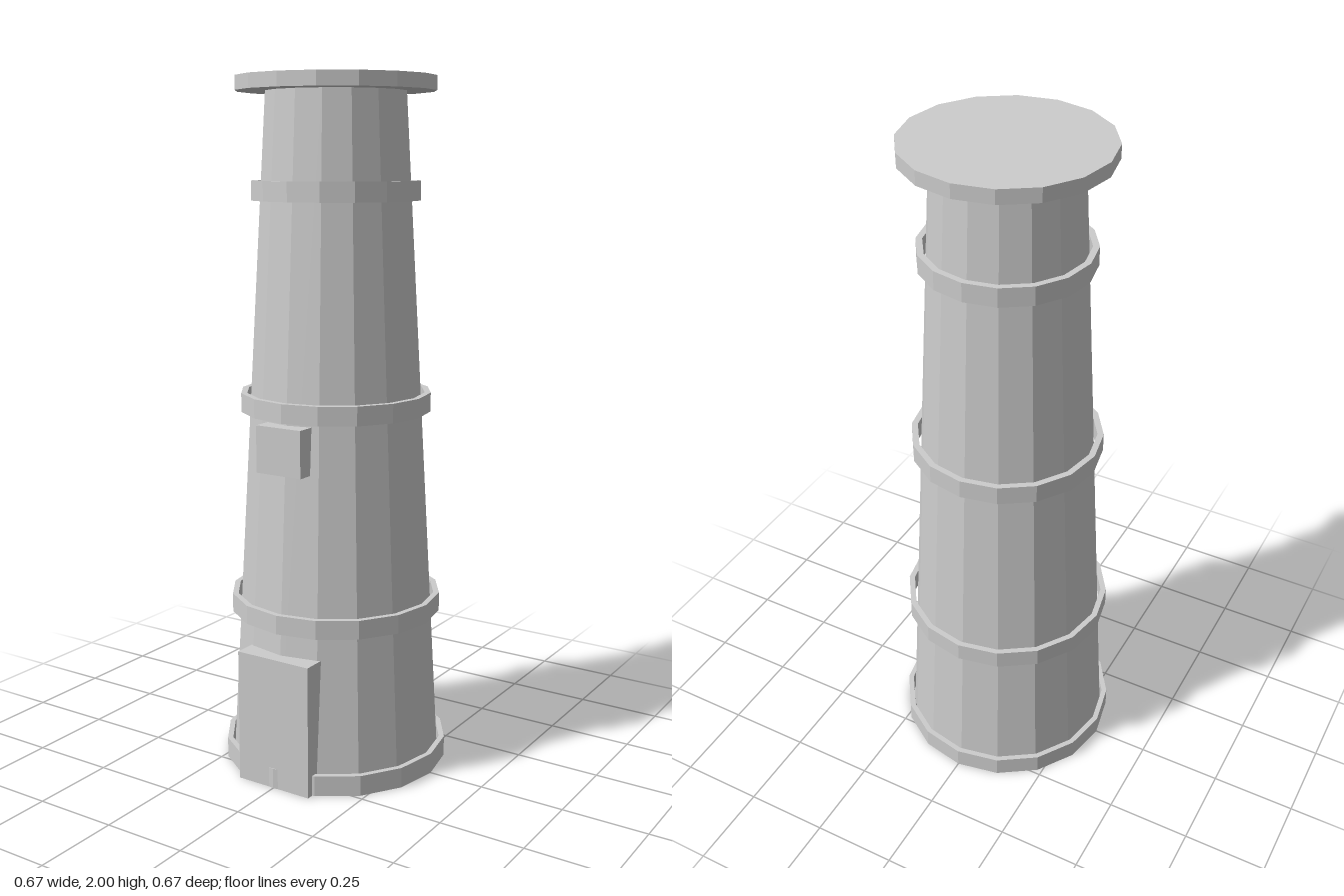
import * as THREE from 'three';

const SIDES = 16;

export function createModel() {
  const model = new THREE.Group();
  model.name = 'tower';
  const stone = new THREE.MeshStandardMaterial({ color: 0xcccccc, flatShading: true });
  stone.name = 'pale grey stone';

  function add(name, geometry, x, y, z) {
    const mesh = new THREE.Mesh(geometry, stone);
    mesh.name = name;
    mesh.position.set(x, y, z);
    model.add(mesh);
  }

  // Tapered shaft and wide flat cap
  add('shaft', new THREE.CylinderGeometry(0.2, 0.313, 1.96, SIDES), 0, 0.98, 0);
  add('cap', new THREE.CylinderGeometry(0.284, 0.284, 0.04, SIDES), 0, 1.98, 0);

  // Hollow bands standing slightly clear of the shaft: bottom, height, inner and outer radius
  const bands = [
    ['baseBand', 0, 0.06, 0.317, 0.333],
    ['lowerBand', 0.46, 0.055, 0.294, 0.311],
    ['middleBand', 1.06, 0.055, 0.26, 0.278],
    ['upperBand', 1.66, 0.055, 0.224, 0.242],
  ];
  for (const [name, y, h, inner, outer] of bands) {
    const profile = [[inner, 0], [outer, 0], [outer, h], [inner, h], [inner, 0]]
      .map(([r, py]) => new THREE.Vector2(r, py));
    add(name, new THREE.LatheGeometry(profile, SIDES), 0, y, 0);
  }

  // Door and window blocks on the front
  add('door', new THREE.BoxGeometry(0.24, 0.39, 0.08), 0, 0.195, 0.29);
  add('window', new THREE.BoxGeometry(0.148, 0.135, 0.06), 0, 0.983, 0.263);

  return model;
}
